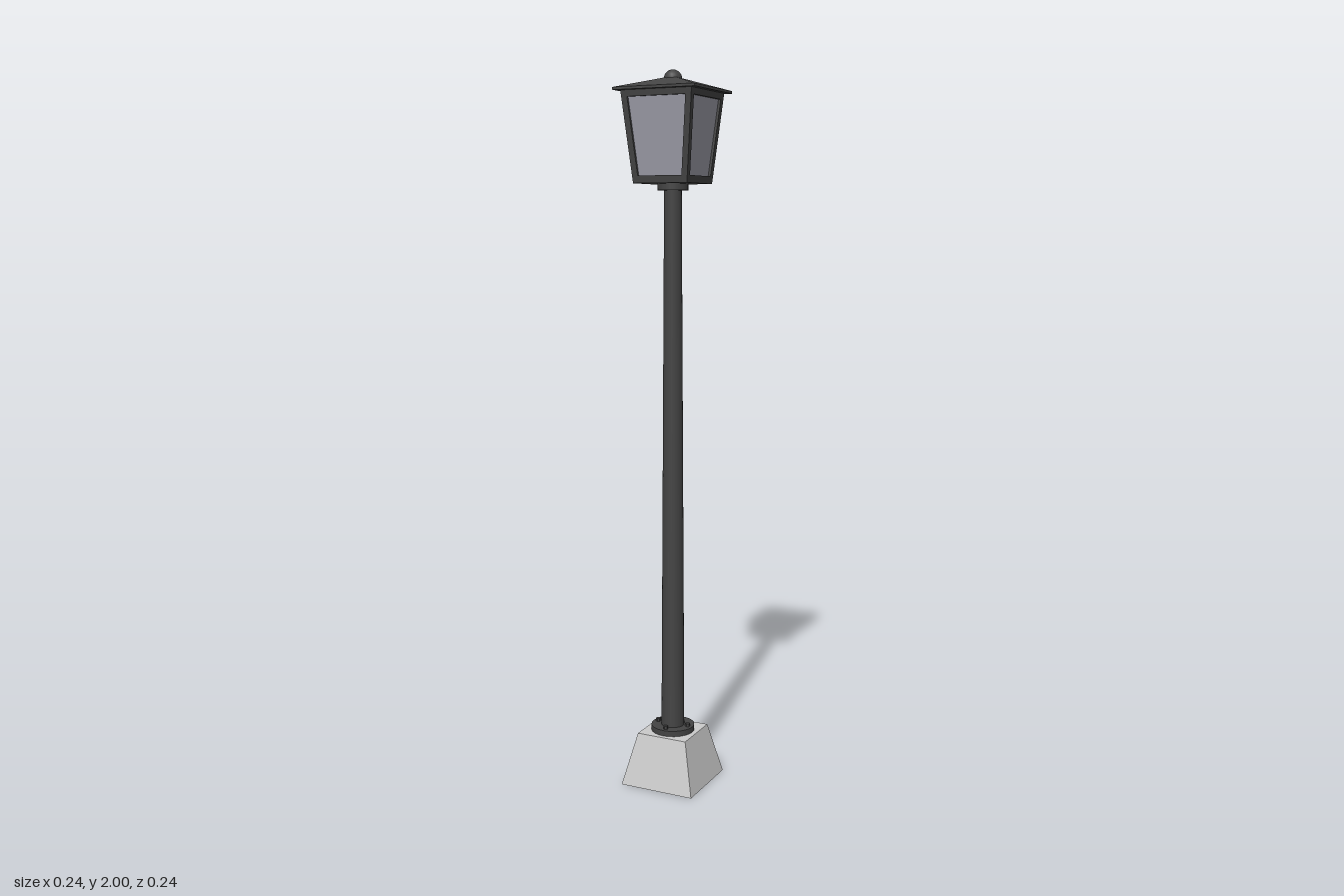
import * as THREE from 'three';

const paint = (color, flatShading = false) => new THREE.MeshStandardMaterial({ color, flatShading });
const iron = paint(0x444444);
const ironFlat = paint(0x444444, true);
const stone = paint(0xc4c4c4, true);
const glass = paint(0x9c9ca8, true);

export function createModel() {
  const model = new THREE.Group();
  model.name = 'streetLamp';

  const add = (name, geometry, material, parent = model) => {
    const mesh = new THREE.Mesh(geometry, material);
    mesh.name = name;
    parent.add(mesh);
    return mesh;
  };
  // Square frustum between two heights, given half widths
  const frustum = (bottom, top, y0, y1) =>
    new THREE.CylinderGeometry(top * Math.SQRT2, bottom * Math.SQRT2, y1 - y0, 4)
      .rotateY(Math.PI / 4).translate(0, (y0 + y1) / 2, 0);
  // Round section between two heights
  const round = (bottom, top, y0, y1, sides = 24) =>
    new THREE.CylinderGeometry(top, bottom, y1 - y0, sides).translate(0, (y0 + y1) / 2, 0);

  // Stone plinth
  add('plinth', frustum(0.11, 0.075, 0, 0.148), stone);

  // Bolted flange and tapering pole
  add('flange', round(0.062, 0.062, 0.148, 0.164), iron);
  for (let i = 0; i < 4; i++) {
    const a = i * Math.PI / 2;
    const bolt = add('flangeBolt', round(0.007, 0.007, 0.16, 0.173, 6), ironFlat);
    bolt.position.set(Math.sin(a) * 0.047, 0, Math.cos(a) * 0.047);
  }
  add('pole', round(0.033, 0.024, 0.16, 1.69), iron);
  add('collar', round(0.042, 0.042, 1.682, 1.702), iron);

  // Lantern: half width grows with height
  const lantern = new THREE.Group();
  lantern.name = 'lantern';
  model.add(lantern);
  const half = y => 0.08 + (y - 1.7) * 0.1;
  add('lanternFloor', frustum(half(1.7), half(1.72), 1.7, 1.72), ironFlat, lantern);
  add('lanternTopRail', frustum(half(1.925), half(1.948), 1.925, 1.948), ironFlat, lantern);
  add('glassPanes', frustum(half(1.72) - 0.007, half(1.925) - 0.007, 1.72, 1.925), glass, lantern);

  // Leaning corner posts
  const post = 0.017;
  for (const sx of [-1, 1]) for (const sz of [-1, 1]) {
    const geometry = new THREE.BoxGeometry(post, 0.225, post).translate(0, 1.8225, 0);
    const p = geometry.attributes.position;
    for (let i = 0; i < p.count; i++) {
      const centre = half(p.getY(i)) - post / 2;
      p.setX(i, p.getX(i) + sx * centre);
      p.setZ(i, p.getZ(i) + sz * centre);
    }
    geometry.computeVertexNormals();
    add('cornerPost', geometry, ironFlat, lantern);
  }

  // Pyramid roof with thin eave and ball finial
  add('eave', frustum(0.12, 0.12, 1.942, 1.949), ironFlat, lantern);
  add('roof', frustum(0.12, 0.001, 1.949, 1.983), ironFlat, lantern);
  add('finial', new THREE.SphereGeometry(0.025, 20, 14).translate(0, 1.975, 0), iron, lantern);

  return model;
}
